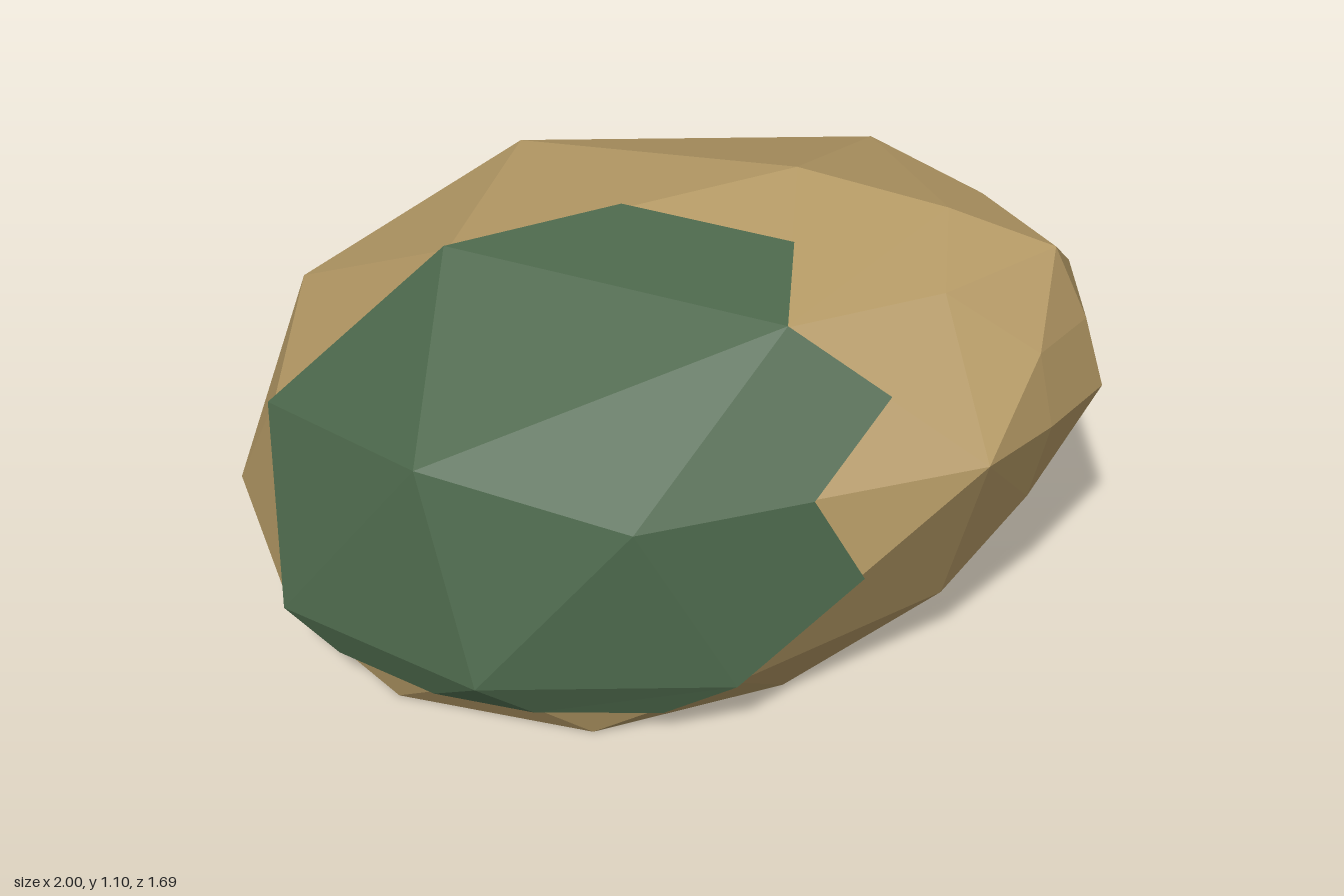
import * as THREE from 'three';
import { ConvexGeometry } from 'three/addons/geometries/ConvexGeometry.js';

// Faceted boulder, leaning forward along +x, mirrored across z = 0
const half = [
  // flat base ring
  [0.52, 0, 0], [0.39, 0, 0.44], [0.02, 0, 0.71], [-0.44, 0, 0.71], [-0.81, 0, 0.44], [-0.95, 0, 0],
  // widest ring
  [0.71, 0.2, 0.26], [0.34, 0.2, 0.69], [-0.2, 0.19, 0.84], [-0.7, 0.19, 0.69], [-1, 0.19, 0.26],
  // shoulder ring
  [1, 0.65, 0], [0.82, 0.69, 0.43], [0.12, 0.58, 0.72], [-0.37, 0.63, 0.69], [-0.81, 0.56, 0.44], [-0.91, 0.62, 0],
  // crown
  [0.87, 0.99, 0], [0.37, 0.96, 0.43], [-0.44, 0.92, 0.26], [0.29, 1.1, 0],
  // extra facets of the rounded nose
  [0.63, 1.05, 0], [0.95, 0.82, 0], [0.92, 0.67, 0.22], [0.87, 0.41, 0.13], [0.88, 0.84, 0.2], [0.67, 0.97, 0.22],
];

// Patch corners: the first fourteen run round its edge, the last three lie inside
const patchPoints = [
  [-0.81, 0.56, 0.44], [-0.7, 0.19, 0.69], [-0.57, 0.1, 0.7], [-0.32, 0.1, 0.775], [-0.09, 0.1, 0.775],
  [0.18, 0.1, 0.7], [0.34, 0.2, 0.69], [0.58, 0.445, 0.56], [0.47, 0.635, 0.575], [0.595, 0.825, 0.43],
  [0.37, 0.96, 0.43], [0.33, 1.03, 0.215], [-0.075, 1.01, 0.13], [-0.44, 0.92, 0.26],
  [-0.2, 0.19, 0.84], [0.12, 0.58, 0.72], [-0.37, 0.63, 0.69],
];
const patchFaces = [
  [0, 1, 16], [1, 14, 16], [0, 16, 13], [13, 16, 10], [16, 15, 10], [13, 10, 12], [12, 10, 11],
  [15, 8, 10], [10, 8, 9], [15, 6, 7], [15, 7, 8], [15, 14, 6], [16, 14, 15],
  [1, 2, 3], [1, 3, 14], [14, 3, 4], [14, 4, 6], [4, 5, 6],
];
const rimCount = 14;

function createPatchGeometry() {
  const centre = new THREE.Vector3(-0.1, 0.3, 0);
  // Push a corner outward from the boulder's middle
  const shift = (amount) => patchPoints.map((p) => {
    const v = new THREE.Vector3(...p);
    return v.addScaledVector(v.clone().sub(centre).normalize(), amount);
  });
  const outer = shift(0.014), inner = shift(-0.015);
  const corners = [];
  for (const [a, b, c] of patchFaces) corners.push(outer[a], outer[b], outer[c]);
  // Thin wall round the edge
  for (let i = 0; i < rimCount; i++) {
    const j = (i + 1) % rimCount;
    corners.push(outer[i], inner[i], inner[j], outer[i], inner[j], outer[j]);
  }
  const geometry = new THREE.BufferGeometry().setFromPoints(corners);
  geometry.computeVertexNormals();
  return geometry;
}

export function createModel() {
  const group = new THREE.Group();
  group.name = 'mossyBoulder';

  const points = [];
  for (const [x, y, z] of half) {
    points.push(new THREE.Vector3(x, y, z));
    if (z > 0) points.push(new THREE.Vector3(x, y, -z));
  }
  const boulder = new THREE.Mesh(
    new ConvexGeometry(points),
    new THREE.MeshStandardMaterial({ color: 0xb39864, flatShading: true }),
  );
  boulder.name = 'boulder';

  const patch = new THREE.Mesh(
    createPatchGeometry(),
    new THREE.MeshStandardMaterial({ color: 0x4a6549, flatShading: true, side: THREE.DoubleSide }),
  );
  patch.name = 'mossPatch';

  group.add(boulder, patch);
  return group;
}
